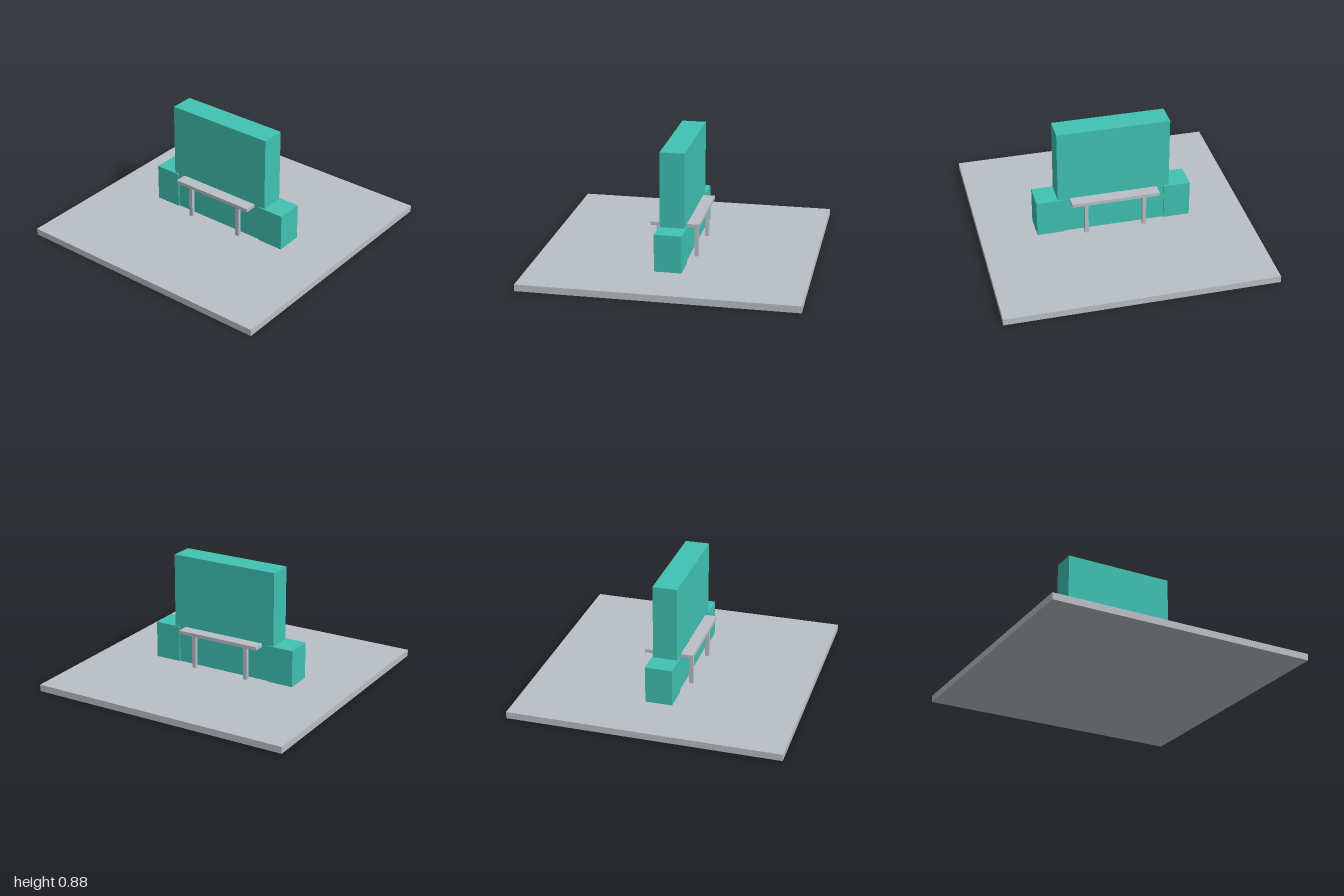
import * as THREE from 'three';

const teal = new THREE.MeshStandardMaterial({ name: 'teal', color: 0x40c2b3 });
const grey = new THREE.MeshStandardMaterial({ name: 'grey', color: 0xbac0c6 });

// Box given by its centre in x and z, its bottom and its top
function box(name, material, width, depth, bottom, top, x = 0, z = 0) {
  const mesh = new THREE.Mesh(new THREE.BoxGeometry(width, top - bottom, depth), material);
  mesh.name = name;
  mesh.position.set(x, (bottom + top) / 2, z);
  return mesh;
}

// Seat plank on two square legs, along one face of the wall
function bench(name, side) {
  const group = new THREE.Group();
  group.name = name;
  group.add(box('seat', grey, 0.658, 0.09, 0.307, 0.333, 0, side * 0.134));
  for (const x of [-0.22, 0.218]) {
    group.add(box('leg', grey, 0.029, 0.028, 0.05, 0.307, x, side * 0.14));
  }
  return group;
}

export function createModel() {
  const model = new THREE.Group();
  model.name = 'wallWithBenches';

  // Ground slab
  model.add(box('baseSlab', grey, 2, 2, 0, 0.05));

  // Tall wall, footed inside the slab
  model.add(box('wall', teal, 0.84, 0.18, 0.02, 0.885, -0.001));

  // Low blocks overlapping the wall ends
  model.add(box('leftEndBlock', teal, 0.2, 0.2, 0.05, 0.328, 0.48));
  model.add(box('rightEndBlock', teal, 0.2, 0.2, 0.05, 0.328, -0.483));

  // Benches on both faces
  model.add(bench('frontBench', 1), bench('backBench', -1));
  return model;
}
